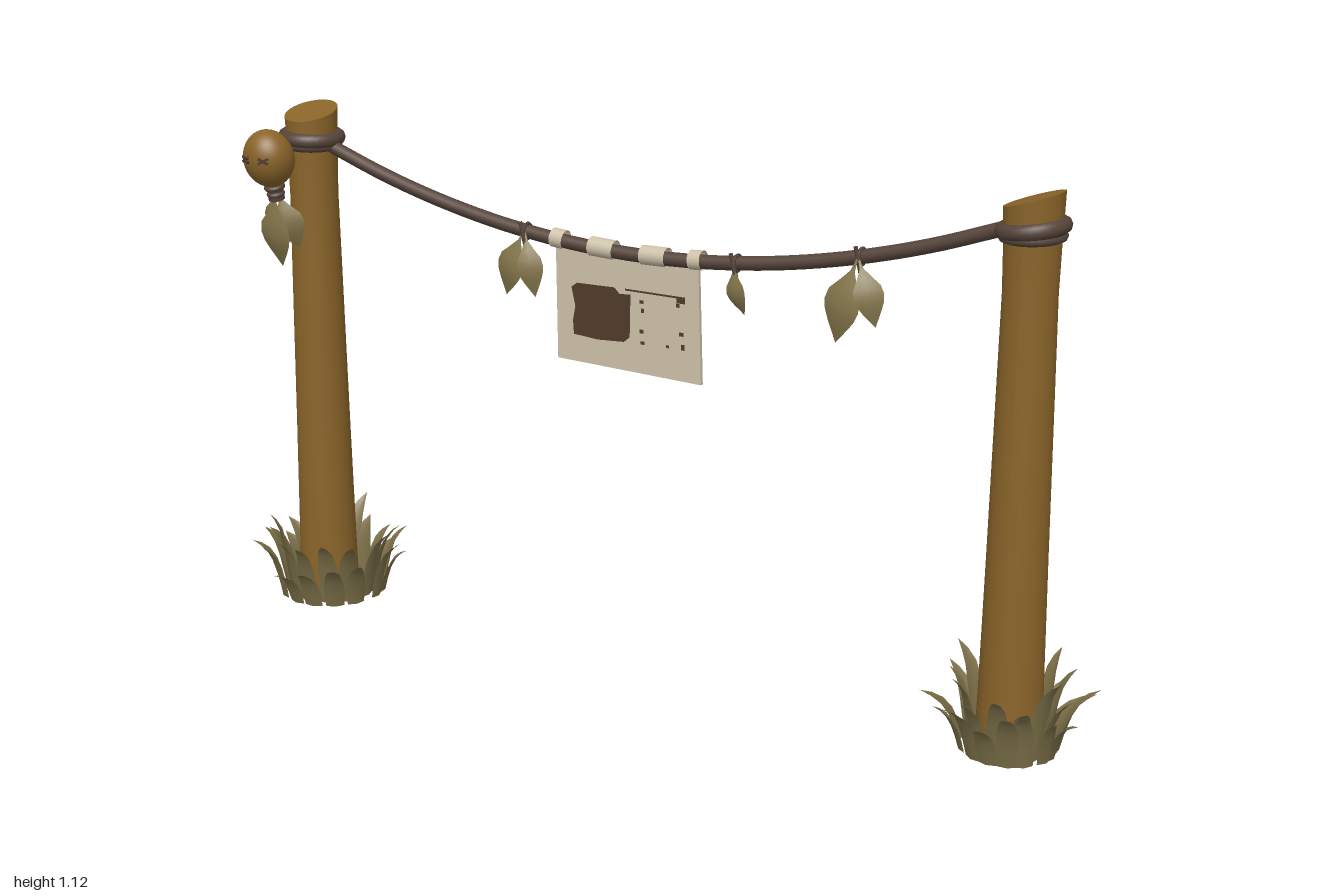
import * as THREE from 'three';

const mat = (name, color, side = THREE.FrontSide) => {
  const m = new THREE.MeshStandardMaterial({ color, side });
  m.name = name;
  return m;
};
const V = (x, y, z) => new THREE.Vector3(x, y, z);
const ropeY = x => 0.885 + 0.245 * x * x;

export function createModel() {
  const wood = mat('wood', 0x8a6429);
  const rope = mat('rope', 0x55443a);
  const cloth = mat('cloth', 0xcdc1a8, THREE.DoubleSide);
  const ink = mat('ink', 0x503a2b, THREE.DoubleSide);
  const leafMat = mat('dry leaf', 0x85774c, THREE.DoubleSide);
  const grassMat = mat('dry grass', 0x7c7049, THREE.DoubleSide);

  const model = new THREE.Group();
  const add = (name, geo, material, parent = model) => {
    const mesh = new THREE.Mesh(geo, material);
    mesh.name = name;
    parent.add(mesh);
    return mesh;
  };
  let seed = 7;
  const rand = (a, b) => {
    seed = (seed * 16807) % 2147483647;
    return a + (b - a) * seed / 2147483647;
  };

  // Creased ribbon along a curve, three vertices per cross-section
  function ribbon(points, side, halfWidths, fold) {
    const curve = new THREE.CatmullRomCurve3(points);
    const n = halfWidths.length - 1, pos = [], idx = [];
    halfWidths.forEach((w, i) => {
      const c = curve.getPoint(i / n);
      const l = c.clone().addScaledVector(side, -w);
      const r = c.clone().addScaledVector(side, w);
      c.addScaledVector(fold, w);
      pos.push(...l.toArray(), ...c.toArray(), ...r.toArray());
      if (i < n) for (const k of [0, 1]) {
        const a = i * 3 + k;
        idx.push(a, a + 1, a + 4, a, a + 4, a + 3);
      }
    });
    const g = new THREE.BufferGeometry();
    g.setAttribute('position', new THREE.Float32BufferAttribute(pos, 3));
    g.setIndex(idx);
    g.computeVertexNormals();
    return g;
  }

  // Posts: flared logs whose top end is cut at a slant
  function post(name, x, slopeX, slopeZ) {
    const profile = [[0, 0], [0.066, 0], [0.063, 0.15], [0.059, 0.4], [0.055, 0.7],
      [0.052, 0.92], [0.054, 1.02], [0.057, 1.1]].map(p => new THREE.Vector2(...p));
    const group = new THREE.Group();
    group.name = name;
    group.position.x = x;
    const slant = (px, pz) => slopeX * px + slopeZ * pz;
    const side = new THREE.LatheGeometry(profile.slice(1), 32);
    const top = new THREE.CircleGeometry(0.057, 32).rotateX(-Math.PI / 2).translate(0, 1.1, 0);
    for (const g of [side, top]) {
      const p = g.attributes.position;
      for (let i = 0; i < p.count; i++)
        if (p.getY(i) > 1.09) p.setY(i, p.getY(i) + slant(p.getX(i), p.getZ(i)));
      g.computeVertexNormals();
    }
    add('postTrunk', side, wood, group);
    add('postTop', top, wood, group);
    add('postBottom', new THREE.CircleGeometry(0.066, 32).rotateX(Math.PI / 2), wood, group);
    model.add(group);
  }
  post('rightPost', -0.816, 0.02, -0.26);
  post('leftPost', 0.842, 0.32, 0);

  // Rope with wraps round both posts
  const ropePts = [];
  for (let i = 0; i <= 10; i++) {
    const x = -0.775 + 1.57 * i / 10;
    ropePts.push(V(x, ropeY(x), 0));
  }
  add('rope', new THREE.TubeGeometry(new THREE.CatmullRomCurve3(ropePts), 48, 0.0145, 10), rope);
  for (const [x, tilt] of [[-0.816, -0.05], [0.842, 0.15]]) {
    const wrap = add('ropeWrap', new THREE.TorusGeometry(0.056, 0.016, 10, 32).rotateX(Math.PI / 2), rope);
    wrap.position.set(x, 1.045, 0);
    wrap.rotation.z = tilt;
    const under = add('ropeWrapLower', new THREE.TorusGeometry(0.055, 0.01, 8, 32).rotateX(Math.PI / 2), rope);
    under.position.set(x, 1.03, 0);
    under.rotation.z = tilt * 0.3;
  }

  // Grass: two rings of blades bending outward round each post
  function tuft(name, x, z, baseR, reach) {
    const group = new THREE.Group();
    group.name = name;
    group.position.set(x, 0, z);
    for (const [count, r0, hMin, hMax, out] of [[15, 1, 0.08, 0.13, 1], [13, 0.8, 0.12, 0.185, 0.85]])
      for (let i = 0; i < count; i++) {
        const a = (i + rand(-0.25, 0.25)) / count * Math.PI * 2;
        const dir = V(Math.cos(a), 0, Math.sin(a)), side = V(-Math.sin(a), 0, Math.cos(a));
        const h = rand(hMin, hMax), R = reach * out * rand(0.85, 1.05), b = baseR * r0;
        const at = (r, y, s) => dir.clone().multiplyScalar(r).addScaledVector(side, s).setY(y);
        const sway = rand(-0.03, 0.03);
        add('grassBlade', ribbon(
          [at(b, 0, 0), at(b + (R - b) * 0.2, h * 0.5, sway * 0.2), at(b + (R - b) * 0.55, h * 0.85, sway * 0.6), at(R, h, sway)],
          side, [0.02, 0.023, 0.021, 0.016, 0.009, 0], dir.clone().multiplyScalar(0.35)), grassMat, group);
      }
    model.add(group);
  }
  tuft('rightGrass', -0.81, -0.005, 0.112, 0.185);
  tuft('leftGrass', 0.84, -0.005, 0.092, 0.17);

  // Hanging leaves
  function leaf(top, tip, w, turn = 0, parent = model) {
    const d = tip.clone().sub(top).normalize();
    const side = V(Math.cos(turn), 0, Math.sin(turn));
    side.addScaledVector(d, -side.dot(d)).normalize();
    const out = side.clone().cross(d).negate();
    const mid = top.clone().lerp(tip, 0.55).addScaledVector(out, 0.012);
    add('leaf', ribbon([top, mid, tip], side,
      [0.05, 0.12, 0.5, 0.92, 1, 0.86, 0.6, 0.3, 0].map(k => k * w), out.multiplyScalar(0.2)), leafMat, parent);
  }
  leaf(V(-0.265, 0.905, 0.016), V(-0.308, 0.765, 0.016), 0.036, 0.2);
  leaf(V(-0.262, 0.905, 0.014), V(-0.238, 0.768, 0.014), 0.027, -0.5);
  leaf(V(0.228, 0.9, 0.014), V(0.252, 0.798, 0.012), 0.026, 0.3);
  leaf(V(0.497, 0.945, 0.02), V(0.457, 0.775, 0.024), 0.042, 0.2);
  leaf(V(0.5, 0.945, 0.018), V(0.54, 0.815, 0.02), 0.03, -0.6);
  for (const x of [-0.265, 0.228, 0.498]) {
    const knot = add('leafTie', new THREE.TorusGeometry(0.016, 0.004, 6, 16).rotateY(Math.PI / 2), rope);
    knot.position.set(x, ropeY(x), 0);
    const stem = add('leafStem', new THREE.CylinderGeometry(0.004, 0.005, 0.055, 6), rope);
    stem.position.set(x, ropeY(x) - 0.004, 0.016);
    stem.rotation.z = 0.25;
  }

  // Cloth banner with loops over the rope
  const poly = pts => new THREE.Shape(pts.map(p => new THREE.Vector2(...p)));
  add('banner', new THREE.ExtrudeGeometry(
    poly([[-0.193, 0.892], [-0.19, 0.643], [0.15, 0.635], [0.142, 0.888], [-0.02, 0.88]]),
    { depth: 0.008, bevelEnabled: false }).translate(0, 0, -0.004), cloth);
  for (const [x, w] of [[-0.186, 0.03], [-0.081, 0.058], [0.041, 0.058], [0.138, 0.028]]) {
    const loop = add('bannerLoop', new THREE.CylinderGeometry(0.02, 0.02, w, 16, 1, true).rotateZ(Math.PI / 2), cloth);
    loop.position.set(x, ropeY(x) + 0.003, 0);
    loop.rotation.z = 0.49 * x;
  }

  // Worn print on both faces
  for (const back of [false, true]) {
    const print = new THREE.Group();
    print.name = back ? 'backPrint' : 'frontPrint';
    print.position.set(-0.022, 0, 0);
    print.rotation.y = back ? Math.PI : 0;
    const patch = poly([[-0.133, 0.8], [-0.12, 0.81], [-0.03, 0.812], [-0.018, 0.8], [0.008, 0.802], [0.006, 0.712],
      [-0.008, 0.7], [-0.07, 0.696], [-0.128, 0.7], [-0.13, 0.73], [-0.124, 0.76]]);
    add('printPatch', new THREE.ShapeGeometry(patch), ink, print).position.z = 0.0055;
    for (const [x, y, w, h] of [[0.055, 0.811, 0.12, 0.004], [0.125, 0.806, 0.02, 0.014], [0.118, 0.794, 0.008, 0.008],
      [0.034, 0.79, 0.01, 0.007], [0.036, 0.772, 0.007, 0.009], [0.034, 0.728, 0.01, 0.008], [0.036, 0.704, 0.009, 0.007],
      [0.095, 0.705, 0.008, 0.006], [0.127, 0.735, 0.01, 0.008], [0.13, 0.708, 0.008, 0.012]])
      add('printMark', new THREE.PlaneGeometry(w, h), ink, print).position.set(x, y, 0.0055);
    model.add(print);
  }

  // Round hanging gourd with crossed-stitch eyes, tied neck and leaves
  const gourd = new THREE.Group();
  gourd.name = 'gourd';
  gourd.position.set(-0.85, 1.012, 0.107);
  gourd.rotation.x = 0.22;
  add('gourdBody', new THREE.SphereGeometry(1, 32, 20).scale(0.056, 0.063, 0.052), wood, gourd);
  add('gourdNeck', new THREE.CylinderGeometry(0.014, 0.018, 0.04, 12), rope, gourd).position.y = -0.075;
  for (const [y, r] of [[-0.066, 0.017], [-0.082, 0.014]])
    add('gourdTie', new THREE.TorusGeometry(r, 0.006, 8, 20).rotateX(Math.PI / 2), rope, gourd).position.y = y;
  for (const s of [-1, 1]) {
    const eye = new THREE.Group();
    eye.name = 'stitchEye';
    eye.position.set(s * 0.023, 0.014, 0.0465);
    eye.rotation.set(-0.22, s * 0.42, 0);
    for (const a of [0.5, -0.5])
      add('stitch', new THREE.BoxGeometry(0.024, 0.005, 0.006), ink, eye).rotation.z = a;
    gourd.add(eye);
  }
  model.add(gourd);
  leaf(V(-0.852, 0.935, 0.09), V(-0.858, 0.765, 0.066), 0.044, 0.15);
  leaf(V(-0.847, 0.935, 0.085), V(-0.815, 0.81, 0.058), 0.034, -0.5);
  leaf(V(-0.853, 0.935, 0.08), V(-0.885, 0.82, 0.062), 0.028, 0.5);

  return model;
}
